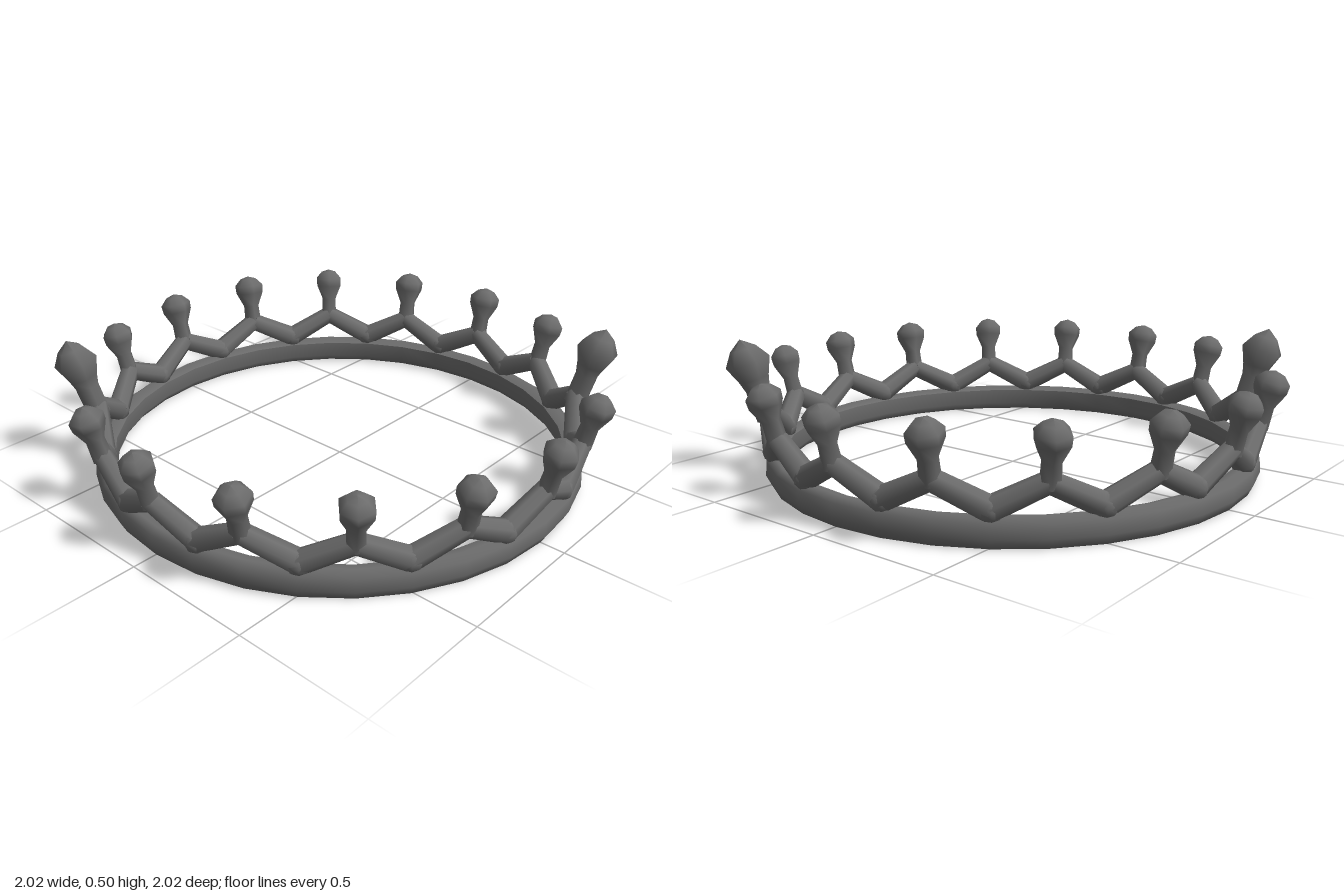
import * as THREE from 'three';

const POINTS = 16;
const STEP = (Math.PI * 2) / POINTS;

// Position on the crown from angle (0 = front), radius and height
const polar = (a, r, y) => new THREE.Vector3(Math.sin(a) * r, y, Math.cos(a) * r);

// Low-sided smooth rod running from a to b
function rod(a, b, ra, rb, material, name) {
  const dir = b.clone().sub(a);
  const mesh = new THREE.Mesh(new THREE.CylinderGeometry(rb, ra, dir.length(), 7, 1), material);
  mesh.position.copy(a).addScaledVector(dir, 0.5);
  mesh.quaternion.setFromUnitVectors(new THREE.Vector3(0, 1, 0), dir.normalize());
  mesh.name = name;
  return mesh;
}

function lathe(profile, sides, material, name) {
  const pts = profile.map(([r, y]) => new THREE.Vector2(r, y));
  const mesh = new THREE.Mesh(new THREE.LatheGeometry(pts, sides), material);
  mesh.name = name;
  return mesh;
}

export function createModel() {
  const crown = new THREE.Group();
  crown.name = 'crown';
  const metal = new THREE.MeshStandardMaterial({ color: 0x6c6c6c });
  metal.name = 'dark grey metal';

  // Rounded base band
  crown.add(lathe([
    [0.853, 0.095], [0.85, 0.035], [0.872, 0.006], [0.908, 0.006],
    [0.925, 0.04], [0.921, 0.09], [0.895, 0.108], [0.853, 0.095],
  ], 32, metal, 'baseBand'));

  // Knob profiles, measured up from the foot of each stem
  const smallKnob = [[0.036, 0], [0.033, 0.085], [0.06, 0.145], [0.062, 0.178], [0.035, 0.207], [0, 0.218]];
  const largeKnob = [[0.044, 0], [0.045, 0.12], [0.056, 0.16], [0.083, 0.225], [0.048, 0.277], [0, 0.312]];

  for (let i = 0; i < POINTS; i++) {
    const a = i * STEP;
    const large = i === 6 || i === 14; // two taller points on opposite sides
    const point = new THREE.Group();
    point.name = large ? 'tallPoint' : 'point';

    // Pair of struts rising from the valleys to the apex
    const apex = polar(a, 0.908, large ? 0.235 : 0.215);
    for (const s of [-1, 1]) {
      const valley = polar(a + s * STEP / 2, 0.888, 0.125);
      point.add(rod(valley, apex, 0.043, 0.037, metal, 'strut'));
    }

    // Stem and knob leaning outwards
    const knob = lathe(large ? largeKnob : smallKnob, 6, metal, 'knob');
    knob.position.copy(polar(a, 0.908, 0.203));
    knob.rotation.set(large ? 0.29 : 0.24, a, 0, 'YXZ');
    point.add(knob);
    crown.add(point);

    // Rounded joint in the valley, resting on the band
    const joint = new THREE.Mesh(new THREE.SphereGeometry(0.045, 8, 6), metal);
    joint.position.copy(polar(a + STEP / 2, 0.888, 0.125));
    joint.name = 'valleyJoint';
    crown.add(joint);
  }
  return crown;
}
